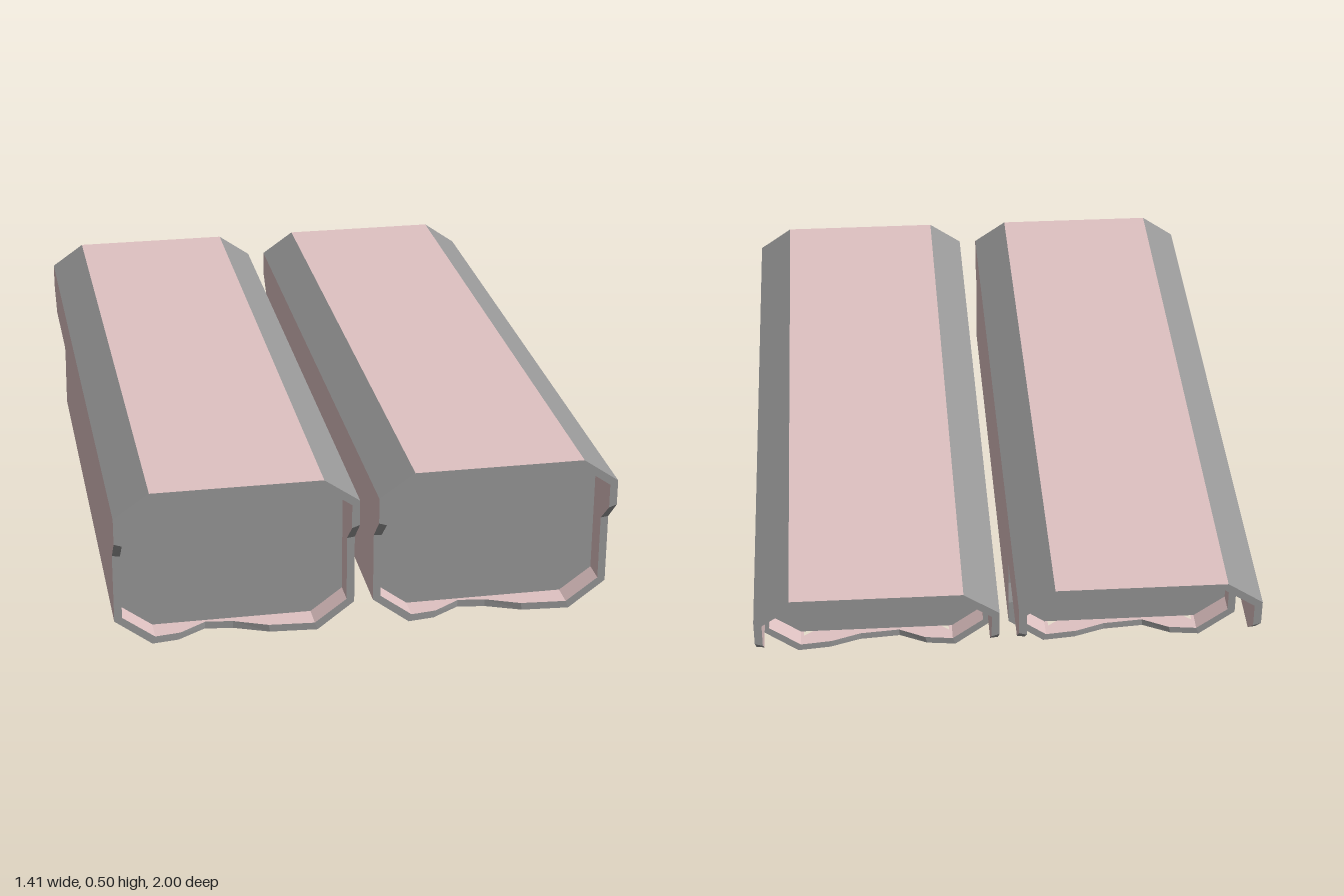
import * as THREE from 'three';

const pink = new THREE.MeshStandardMaterial({ color: 0xdfc2c2, flatShading: true });
const grey = new THREE.MeshStandardMaterial({ color: 0x999999, flatShading: true });

// Clockwise octagon of the tube, outside and inside of the wall
const OUTER = [[-0.24, 0.5], [0.24, 0.5], [0.34, 0.43], [0.34, 0.08],
  [0.235, 0], [-0.235, 0], [-0.34, 0.08], [-0.34, 0.43]];
const INNER = [[-0.232, 0.478], [0.232, 0.478], [0.318, 0.418], [0.318, 0.09],
  [0.227, 0.022], [-0.227, 0.022], [-0.318, 0.09], [-0.318, 0.418]];

// Side wall silhouette as [y, z]
const SIDE = [[0.43, 1], [0.355, 1], [0.285, 0.93], [0.08, 0.93], [0.08, -0.62],
  [0.15, -0.62], [0.21, -0.6], [0.285, -0.6], [0.285, -0.93], [0.355, -1], [0.43, -1]];

// Floor with uneven ends and two long openings, as [x, z]
const FLOOR = [[0.235, 0.93], [0.1, 0.92], [0, 0.88], [-0.08, 0.87], [-0.16, 0.92], [-0.235, 0.93],
  [-0.235, -0.62], [-0.15, -0.61], [-0.07, -0.57], [0.05, -0.58], [0.14, -0.61], [0.235, -0.62]];
const OPENINGS = [
  [[-0.225, 0.07], [-0.14, -0.02], [-0.13, -0.5], [-0.225, -0.58]],
  [[0.225, -0.05], [0.165, -0.08], [0.165, -0.54], [0.225, -0.58]],
];

const strip = (front, back) => [[0, front], [1, front], [1, back], [0, back]];
const toShape = (pts) => new THREE.Shape(pts.map(([t, z]) => new THREE.Vector2(t, z)));
const mix = THREE.MathUtils.lerp;

// One wall: a flat (t, z) outline bent onto octagon edge i, with mitred thickness
function wall(name, i, outline, outerMaterial, holes = []) {
  const shape = toShape(outline);
  shape.holes = holes.map(toShape);
  const geo = new THREE.ExtrudeGeometry(shape, { depth: 1, bevelEnabled: false });
  const p = geo.attributes.position;
  const j = (i + 1) % 8;
  for (let k = 0; k < p.count; k++) {
    const t = p.getX(k), z = p.getY(k), d = p.getZ(k);
    const at = (c) => mix(mix(OUTER[i][c], OUTER[j][c], t), mix(INNER[i][c], INNER[j][c], t), d);
    p.setXYZ(k, at(0), at(1), z);
  }
  geo.computeVertexNormals();
  // Separate the outside, inside and cut edges
  const [caps, rim] = geo.groups;
  geo.clearGroups();
  geo.addGroup(0, caps.count / 2, 0);
  geo.addGroup(caps.count / 2, caps.count / 2, 1);
  geo.addGroup(rim.start, rim.count, 2);
  const mesh = new THREE.Mesh(geo, [outerMaterial, pink, grey]);
  mesh.name = name;
  return mesh;
}

// Closing plate inside the tube
function endPlate(name, z) {
  const geo = new THREE.ExtrudeGeometry(toShape(INNER), { depth: 0.02, bevelEnabled: false });
  const mesh = new THREE.Mesh(geo, grey);
  mesh.name = name;
  mesh.position.z = z;
  return mesh;
}

function makeTube(name) {
  const tube = new THREE.Group();
  tube.name = name;
  const down = ([y, z]) => [(0.43 - y) / 0.35, z];
  const up = ([y, z]) => [(y - 0.08) / 0.35, z];
  const across = ([x, z]) => [(0.235 - x) / 0.47, z];
  tube.add(
    wall('roof', 0, strip(1, -1), pink),
    wall('leftUpperChamfer', 1, strip(1, -1), grey),
    wall('leftWall', 2, SIDE.map(down), pink),
    wall('leftLowerChamfer', 3, strip(0.93, -0.62), grey),
    wall('floor', 4, FLOOR.map(across), pink, OPENINGS.map((o) => o.map(across))),
    wall('rightLowerChamfer', 5, strip(0.93, -0.62), grey),
    wall('rightWall', 6, SIDE.map(up), pink),
    wall('rightUpperChamfer', 7, strip(1, -1), grey),
    endPlate('frontPlate', 0.84),
    endPlate('backPlate', -0.56),
  );
  return tube;
}

export function createModel() {
  const model = new THREE.Group();
  model.name = 'twinTubes';
  for (const [name, x] of [['leftTube', 0.367], ['rightTube', -0.367]]) {
    const tube = makeTube(name);
    tube.position.x = x;
    model.add(tube);
  }
  return model;
}
